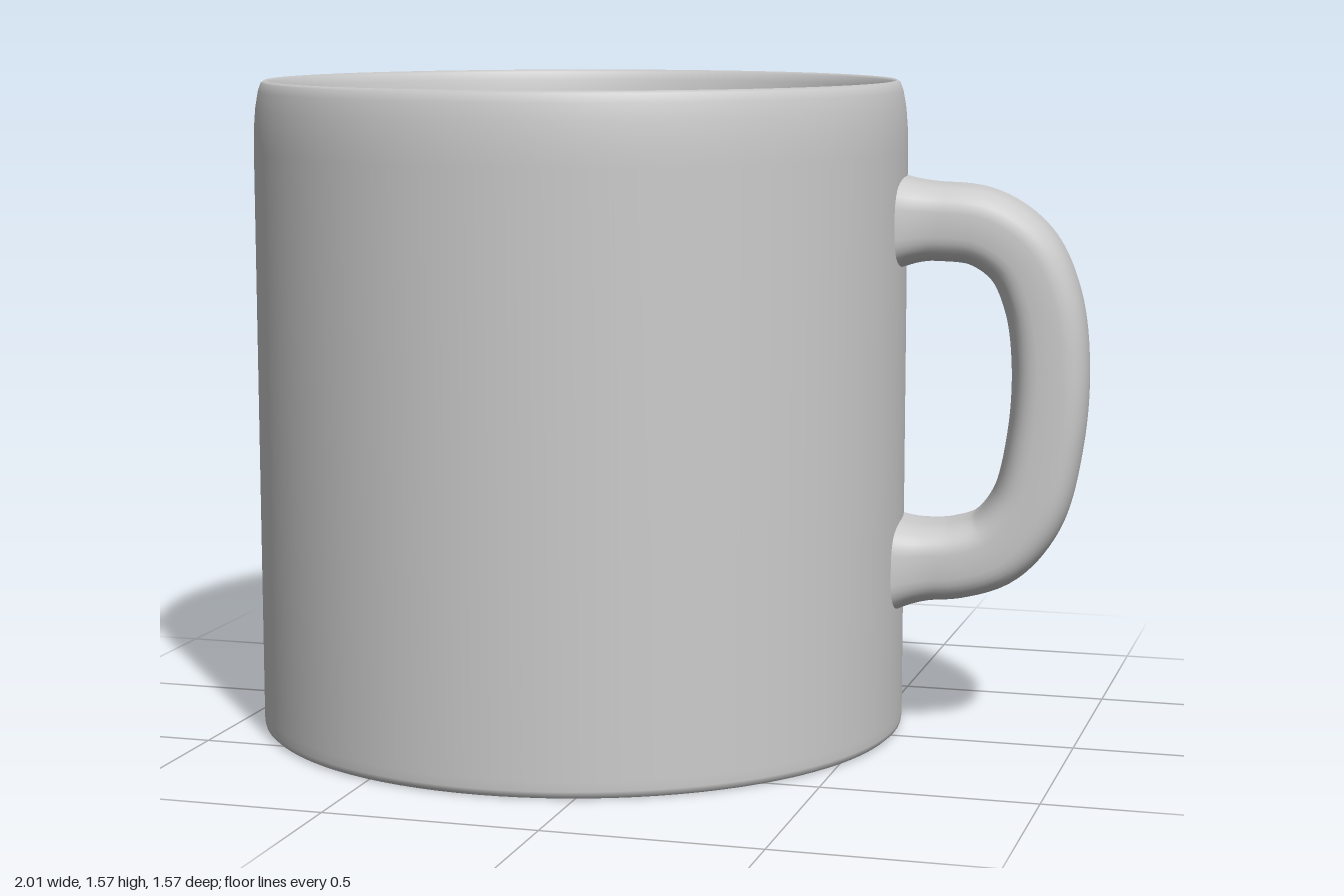
import * as THREE from 'three';

const material = new THREE.MeshStandardMaterial({ color: 0xcccccc, side: THREE.DoubleSide });

// Sweep a rounded-rectangle section along a path lying in the XY plane
function sweepSection(path, steps, sides, sizeAt) {
  const pos = [], index = [];
  const soft = (v) => Math.sign(v) * Math.pow(Math.abs(v), 0.62);
  for (let i = 0; i <= steps; i++) {
    const t = i / steps;
    const p = path.getPointAt(t), d = path.getTangentAt(t);
    const [halfWidth, halfThick] = sizeAt(p);
    for (let j = 0; j < sides; j++) {
      const a = (j / sides) * Math.PI * 2;
      const n = halfThick * soft(Math.cos(a));
      pos.push(p.x - d.y * n, p.y + d.x * n, halfWidth * soft(Math.sin(a)));
      if (i < steps) {
        const k = i * sides + j, k2 = i * sides + (j + 1) % sides;
        index.push(k, k2, k + sides, k2, k2 + sides, k + sides);
      }
    }
  }
  const g = new THREE.BufferGeometry();
  g.setAttribute('position', new THREE.Float32BufferAttribute(pos, 3));
  g.setIndex(index);
  g.computeVertexNormals();
  return g;
}

export function createModel() {
  const mug = new THREE.Group();
  mug.name = 'mug';

  // Cup: underside, outer wall, rounded lip, inner wall and floor in one profile
  const profile = [
    [0, 0], [0.765, 0], [0.775, 0.001], [0.783, 0.008], [0.785, 0.018], [0.785, 0.04],
    [0.785, 1.40], [0.784, 1.45], [0.78, 1.50], [0.773, 1.54], [0.766, 1.56], [0.758, 1.566],
    [0.75, 1.56], [0.743, 1.54], [0.736, 1.50], [0.73, 1.43], [0.728, 1.38],
    [0.726, 0.14], [0.72, 0.10], [0.70, 0.075], [0.66, 0.066], [0.62, 0.065], [0, 0.065],
  ].map(([r, y]) => new THREE.Vector2(r, y));
  const cup = new THREE.Mesh(new THREE.LatheGeometry(profile, 96), material);
  cup.name = 'cup';
  cup.position.x = -0.215;
  mug.add(cup);

  // Handle: rounded strap that widens where it meets the wall
  const path = new THREE.CatmullRomCurve3([
    [0.75, 1.235], [0.86, 1.235], [0.97, 1.222], [1.06, 1.16], [1.112, 1.05], [1.133, 0.9],
    [1.124, 0.72], [1.083, 0.55], [1.01, 0.458], [0.92, 0.425], [0.84, 0.418], [0.75, 0.412],
  ].map(([x, y]) => new THREE.Vector3(x, y, 0)));
  const handle = new THREE.Mesh(sweepSection(path, 90, 40, (p) => {
    const flare = Math.pow(THREE.MathUtils.clamp((0.87 - p.x) / 0.12, 0, 1), 2);
    return [0.138 + 0.026 * flare, 0.092 + 0.028 * flare];
  }), material);
  handle.name = 'handle';
  handle.position.x = -0.215;
  handle.rotation.y = 0.125;
  mug.add(handle);

  return mug;
}
